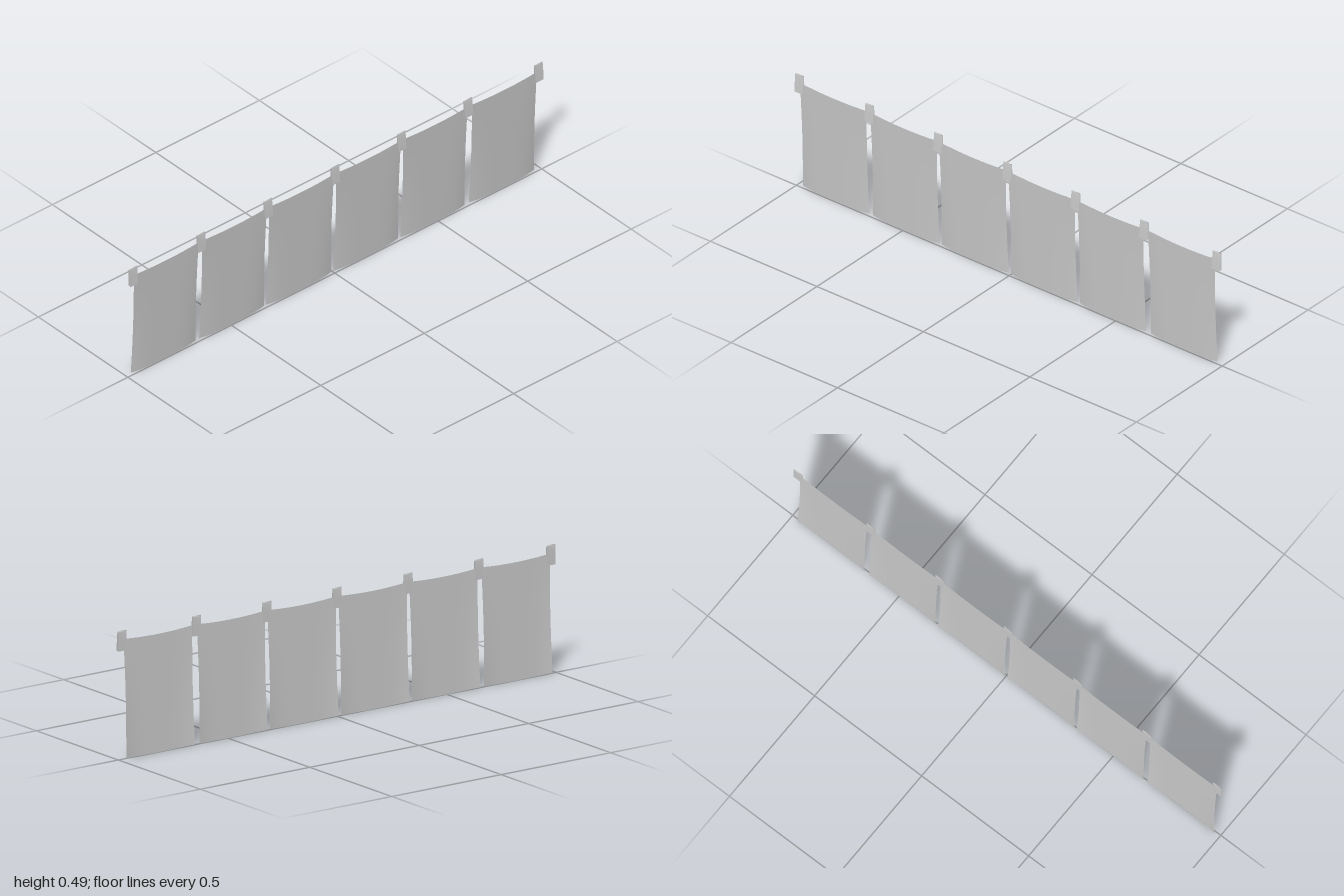
import * as THREE from 'three';

const material = new THREE.MeshStandardMaterial({ color: 0xcccccc, side: THREE.DoubleSide });

// Cloth sheet: a plane grid whose points (u, v in 0..1) are placed by a rule
function sheet(name, nu, nv, place) {
  const geometry = new THREE.PlaneGeometry(1, 1, nu, nv);
  const pos = geometry.attributes.position;
  for (let i = 0; i < pos.count; i++) {
    pos.setXYZ(i, ...place(pos.getX(i) + 0.5, pos.getY(i) + 0.5));
  }
  geometry.computeVertexNormals();
  const mesh = new THREE.Mesh(geometry, material);
  mesh.name = name;
  return mesh;
}

// Hanging panel: sagging top edge, lower corners curling backwards
function panel(left, right) {
  return sheet('curtainPanel', 16, 12, (u, v) => {
    const side = Math.abs(2 * u - 1);
    const bow = side ** 2;
    const top = 0.446 + 0.007 * bow;
    const bottom = 0.004 * bow;
    const pinch = 0.004 * Math.sin(Math.PI * v) * (1 - 2 * u);
    return [
      left + (right - left) * u + pinch,
      bottom + (top - bottom) * v,
      0.007 * v - 0.003 * (1 - v) - 0.007 * (1 - v) * side ** 4,
    ];
  });
}

// Hanging loop: a strip folded over the top, open at the bottom
function loop(x) {
  const profile = [[0.41, 0.012], [0.45, 0.0095], [0.482, 0.0065], [0.487, 0.005],
    [0.482, 0.003], [0.45, 0.0025], [0.41, 0.002]];
  return sheet('hangingLoop', 1, profile.length - 1, (u, v) => {
    const [y, z] = profile[Math.round((1 - v) * (profile.length - 1))];
    return [x + (u - 0.5) * 0.039, y, z];
  });
}

export function createModel() {
  const group = new THREE.Group();
  group.name = 'splitCurtain';

  const panels = [[-0.977, -0.664], [-0.647, -0.334], [-0.324, -0.01],
    [0.001, 0.314], [0.325, 0.636], [0.657, 0.971]];
  panels.forEach(([left, right]) => group.add(panel(left, right)));

  const loops = [-0.98, -0.651, -0.328, -0.003, 0.317, 0.639, 0.98];
  loops.forEach((x) => group.add(loop(x)));

  return group;
}
